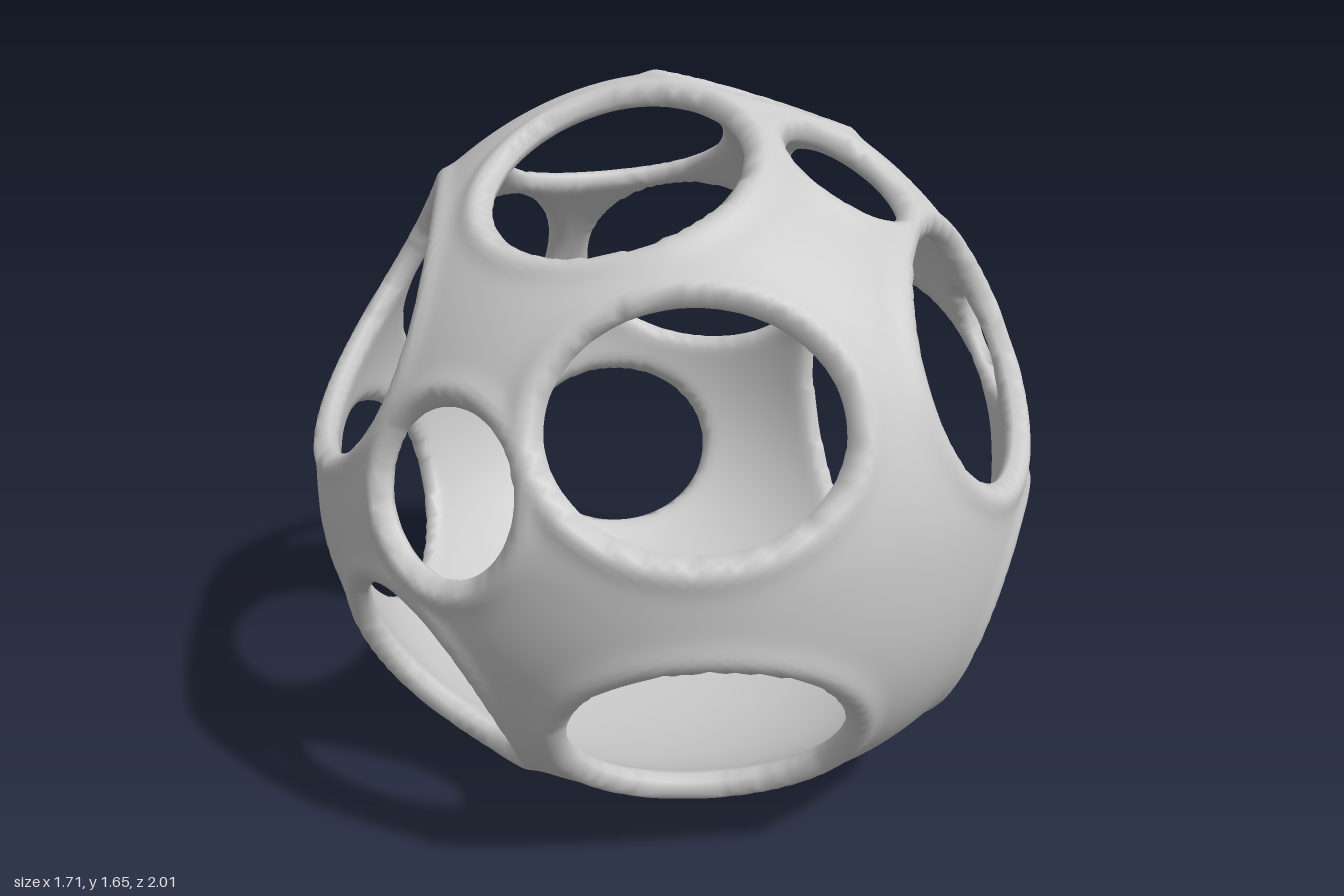
import * as THREE from 'three';
import { mergeVertices } from 'three/addons/utils/BufferGeometryUtils.js';

const CY = 0.75;            // height of the shell's widest ring
const HALF = 0.026;         // half of the wall thickness
const RIM = 0.05;           // width over which the wall rounds off into a hole

// Openings: centre x, y, z, half width, half height, tilt
const HOLES = [
  [-0.14, 1.07, 0.91, 0.295, 0.24], [-0.1, 0.35, 0.85, 0.29, 0.24],        // front
  [0.56, 1.08, 0.55, 0.315, 0.255, 0.5], [0.67, 0.45, 0.47, 0.25, 0.25],   // front left
  [-0.57, 0.87, 0.61, 0.18, 0.175], [-0.63, 0.38, 0.46, 0.235, 0.245],     // front right
  [0.82, 0.62, -0.26, 0.475, 0.385, 0.55], [0.82, 1.01, 0.165, 0.145, 0.11, 0.6], // left side
  [0.58, 1.28, -0.3, 0.21, 0.2],
  [-0.7, 1.1, -0.02, 0.44, 0.3, -0.22], [-0.77, 0.49, -0.37, 0.335, 0.255], // right side
  [-0.43, 1.05, -0.77, 0.27, 0.27], [0.3, 1.05, -0.87, 0.33, 0.28],        // back
  [0.03, 0.43, -0.87, 0.275, 0.235],
  [-0.03, 1.49, -0.54, 0.29, 0.25], [0.21, 1.58, 0, 0.2, 0.2],             // top
  [-0.2, 1.5, 0.37, 0.275, 0.28], [0.32, 1.48, 0.42, 0.135, 0.145],
];

// Radii of the body; the underside is shallower
const radii = (y) => new THREE.Vector3(0.83, y > 0 ? 0.865 : 0.725, 0.97);

// The underside is full, the upper part leaner, most of all towards -x
function surface(s) {
  const ring = Math.hypot(s.x, s.z);
  const k = s.y > 0 ? 1.86 + 0.07 * s.x / Math.max(ring, 1e-6) : 2.45;
  const f = Math.pow(Math.pow(ring, k) + Math.pow(Math.abs(s.y), k), -1 / k);
  return s.clone().multiply(radii(s.y)).multiplyScalar(f);
}
const toSphere = (p) => p.clone().divide(radii(p.y)).normalize();
function normalAt(p) {
  const r = radii(p.y);
  return p.clone().divide(r).divide(r).normalize();
}

// Each opening is an ellipse in the plane touching the body at its centre
const holes = HOLES.map(([x, y, z, rx, ry, tilt = 0]) => {
  const c = surface(toSphere(new THREE.Vector3(x, y - CY, z)));
  const n = normalAt(c);
  const u = new THREE.Vector3(0, 1, 0).cross(n).normalize().applyAxisAngle(n, tilt);
  return { c, n, u, v: n.clone().cross(u), rx, ry };
});

// Distance to the nearest opening, negative inside it
function nearest(p) {
  let best = { d: Infinity };
  for (const h of holes) {
    const q = p.clone().sub(h.c);
    if (q.dot(h.n) < -0.5) continue;
    const a = q.dot(h.u), b = q.dot(h.v);
    const e = Math.max(Math.hypot(a / h.rx, b / h.ry), 1e-3);
    const d = e < 0.1 ? -Math.min(h.rx, h.ry) : Math.hypot(a, b) * (1 - 1 / e);
    if (d < best.d) best = { d, h, a, b, e };
  }
  return best;
}

function shellGeometry() {
  const ball = new THREE.IcosahedronGeometry(1, 54);
  ball.deleteAttribute('uv');
  ball.deleteAttribute('normal');
  const grid = mergeVertices(ball, 1e-4);
  const pos = grid.attributes.position;
  const S = [], D = [];

  // Slide grid points close to an opening onto its edge
  for (let i = 0; i < pos.count; i++) {
    let s = new THREE.Vector3().fromBufferAttribute(pos, i).normalize();
    const p = surface(s);
    const m = nearest(p);
    let d = m.d;
    if (Math.abs(d) < 0.007) {
      const k = 1 - 1 / m.e;
      s = toSphere(p.addScaledVector(m.h.u, -m.a * k).addScaledVector(m.h.v, -m.b * k));
      d = 0;
    }
    S.push(s);
    D.push(d);
  }

  // Point where a grid edge crosses an opening's edge
  const cuts = new Map();
  function cut(i, j) {
    const key = Math.min(i, j) + '_' + Math.max(i, j);
    if (!cuts.has(key)) {
      const lo = (D[i] < 0 ? S[i] : S[j]).clone(), hi = (D[i] < 0 ? S[j] : S[i]).clone();
      for (let n = 0; n < 12; n++) {
        const mid = lo.clone().add(hi).normalize();
        (nearest(surface(mid)).d < 0 ? lo : hi).copy(mid);
      }
      cuts.set(key, S.length);
      S.push(hi);
      D.push(0);
    }
    return cuts.get(key);
  }

  // Clip every triangle to the solid part
  const faces = [];
  const index = grid.index.array;
  for (let t = 0; t < index.length; t += 3) {
    const tri = [index[t], index[t + 1], index[t + 2]];
    if (tri.every((i) => D[i] <= 0)) {
      if (tri.some((i) => D[i] < 0)) continue;
      const mid = S[tri[0]].clone().add(S[tri[1]]).add(S[tri[2]]).normalize();
      if (nearest(surface(mid)).d < 0) continue;
    }
    const poly = [];
    tri.forEach((i, k) => {
      const j = tri[(k + 1) % 3];
      if (D[i] >= 0) poly.push(i);
      if (D[i] * D[j] < 0) poly.push(cut(i, j));
    });
    for (let k = 1; k + 1 < poly.length; k++) faces.push([poly[0], poly[k], poly[k + 1]]);
  }

  // Outer and inner skins meet in a rounded lip at every opening
  const N = S.length;
  const out = new Float32Array(N * 6);
  S.forEach((s, i) => {
    const p = surface(s), n = normalAt(p);
    const w = 1 - Math.min(Math.max(D[i], 0) / RIM, 1);
    const round = Math.sqrt(1 - w * w);
    const lip = 0.012 * Math.exp(-(((D[i] - 0.025) / 0.03) ** 2));
    p.y += CY;
    p.clone().addScaledVector(n, round * (HALF + lip)).toArray(out, i * 3);
    p.clone().addScaledVector(n, -round * HALF).toArray(out, (N + i) * 3);
  });
  const idx = [];
  for (const [a, b, c] of faces) idx.push(a, b, c, N + a, N + c, N + b);

  const geo = new THREE.BufferGeometry();
  geo.setAttribute('position', new THREE.BufferAttribute(out, 3));
  geo.setIndex(idx);
  const merged = mergeVertices(geo, 1e-5);
  merged.computeVertexNormals();
  return merged;
}

export function createModel() {
  const group = new THREE.Group();
  group.name = 'perforatedShell';
  const material = new THREE.MeshStandardMaterial({ color: 0xcccccc, side: THREE.DoubleSide });
  const shell = new THREE.Mesh(shellGeometry(), material);
  shell.name = 'shell';
  group.add(shell);
  return group;
}
